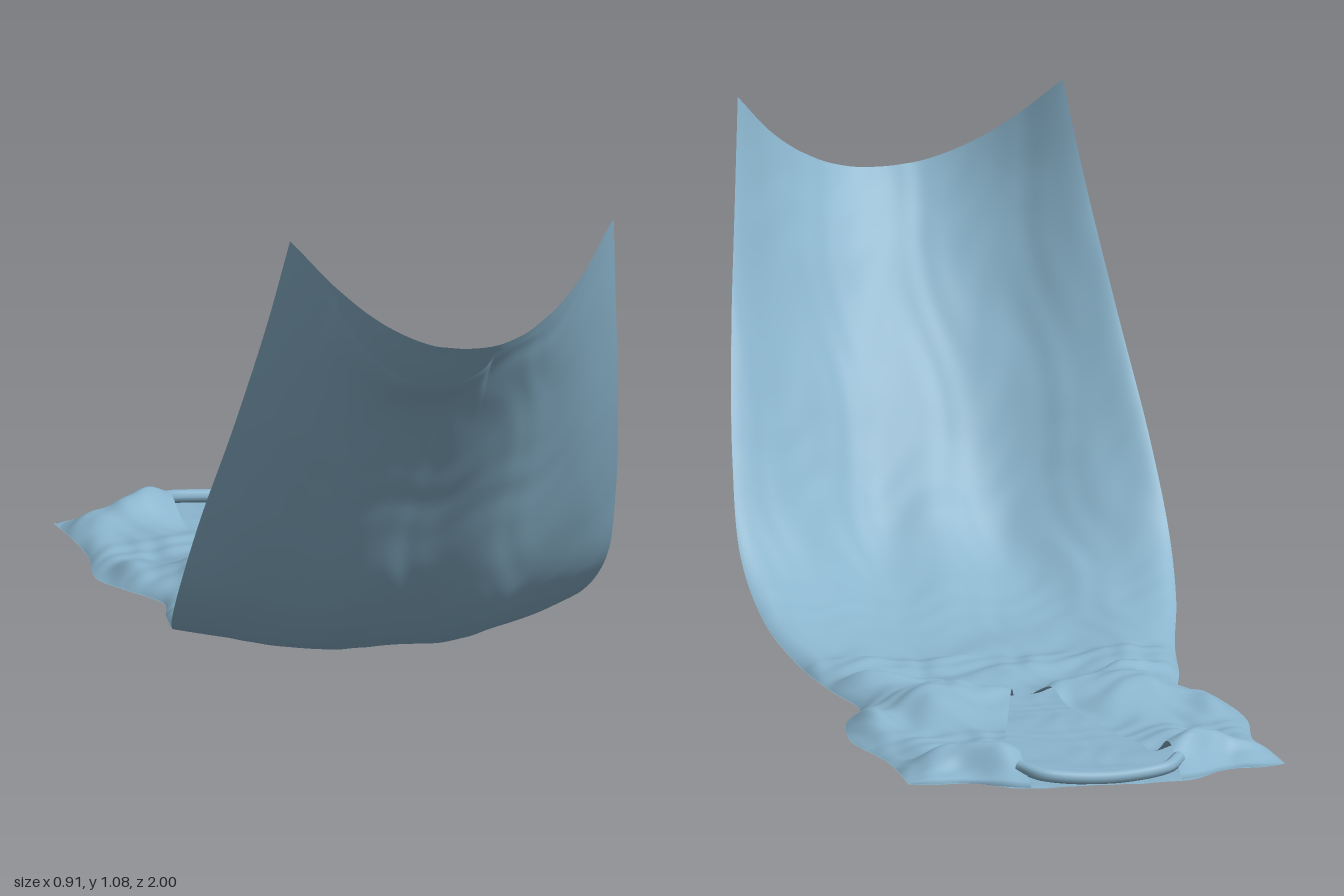
import * as THREE from 'three';
import { ParametricGeometry } from 'three/addons/geometries/ParametricGeometry.js';

const V = (x, y, z) => new THREE.Vector3(x, y, z);
const spline = pts => new THREE.CatmullRomCurve3(pts.map(p => V(...p)));

// Garment centreline (0, y, z) and side seam (halfWidth, y, z), hem to shoulders
const centre = spline([
  [0, .865, 1], [0, .72, .89], [0, .49, .735], [0, .27, .585], [0, .125, .43], [0, .04, .26], [0, .013, .08],
  [0, .007, -.1], [0, .005, -.24], [0, .005, -.36], [0, .005, -.5], [0, .005, -.68], [0, .006, -.84], [0, .012, -1]]);
const seam = spline([
  [.345, 1.08, .81], [.372, .88, .725], [.41, .63, .6], [.443, .395, .455], [.455, .22, .335], [.437, .11, .2], [.4, .05, .06],
  [.37, .03, -.1], [.342, .02, -.24], [.4, .022, -.36], [.42, .012, -.48], [.392, .01, -.65], [.395, .016, -.79], [.4, .014, -.9]]);

const bump = (x, z, cx, cz, rx, rz) => Math.exp(-(((x - cx) / rx) ** 2) - ((z - cz) / rz) ** 2);
const wave = (x, z) => Math.sin(17 * x + 9 * z + 2 * Math.sin(7 * z)) * Math.sin(13 * z - 8 * x + 1.5 * Math.sin(11 * x));
const wrinkle = (x, z) => wave(x, z) + .4 * wave(2.6 * x + 1, 2.9 * z);

// Point of the draped sheet at s (-1..1 across) and t (0 hem .. 1 shoulders), lifted along its normal
function sheet(s, t, lift, target) {
  const c = centre.getPoint(t), e = seam.getPoint(t), n = centre.getTangent(t);
  const a = Math.abs(s), f = a ** 2.2;
  // lobes that sag either side of the middle where the skirt turns upward
  const sag = .012 * (1 - Math.cos(s * 9.4)) * bump(0, t, 0, .27, 1, .09) * (1 - s * s);
  const h = lift - sag;
  target.set(s * e.x, c.y + (e.y - c.y) * f - n.z * h, c.z + (e.z - c.z) * f + n.y * h);
  target.z += .04 * bump(a, t, .7, 1, .17, .06); // dip along the shoulder line
  return target;
}

// Gap between the two cloth layers: soft lens section plus gathered folds
function loft(s, t) {
  const x = s * seam.getPoint(t).x, z = centre.getPoint(t).z, a = Math.abs(x);
  const close = 1 - Math.abs(s) ** 12;
  const end = Math.sqrt(Math.min(1, (1 - t) / .05));
  let h = .016 + .022 * Math.min(1, t * 4);
  if (z < 0) h -= .016 * Math.min(1, -z * 3);
  h += .06 * bump(a, z, .2, -.34, .1, .12);            // bust
  h += .03 * bump(a, z, .07, -.33 + a * .3, .09, .05); // gathers by the neckline
  h += .022 * bump(a, z, .27, -.13 + (a - .27) * .3, .1, .025); // waist tucks
  h += .05 * bump(a, z, .23, -.88 + (a - .2) * .25, .11, .08);  // shoulder folds
  h += .028 * bump(a, z, .36, -.42, .04, .1);          // underarm folds
  h += (z < .05 ? .008 : .003) * wrinkle(x, z);
  return Math.max(.004, h) * close * end + .001;
}

export function createModel() {
  const group = new THREE.Group();
  const cloth = new THREE.MeshStandardMaterial({ color: 0x8ab4cc, side: THREE.DoubleSide });
  const add = (name, geometry) => {
    const mesh = new THREE.Mesh(geometry, cloth);
    mesh.name = name;
    group.add(mesh);
  };

  // Under layer, with a sagging, flared stretch of hem on one side
  add('underLayer', new ParametricGeometry((u, v, target) => {
    const s = 1 - 2 * u;
    const k = (s * .345 + .27) / .31;
    const slack = k > 0 && k < 1 ? Math.sqrt(Math.sin(Math.PI * k)) : 0;
    const t = v + (1 - v) ** 6 * .03 * slack;
    const flare = .035 * slack * Math.exp(-((v / .045) ** 2));
    sheet(s, t, .003 * wrinkle(s * .4, t * 2) * (1 - s * s) - flare, target);
    target.y = Math.max(0, target.y);
  }, 80, 150));

  // Upper layer in two halves that part along the V neckline
  for (const side of [1, -1]) {
    add(side > 0 ? 'upperLayerLeft' : 'upperLayerRight', new ParametricGeometry((u, t, target) => {
      const z = centre.getPoint(t).z, w = seam.getPoint(t).x;
      const open = THREE.MathUtils.clamp((-.2 - z) / .75, 0, 1);
      const neck = .16 * Math.sin(open * Math.PI / 2) / w;
      const s = side * (neck + (1 - neck) * (side > 0 ? u : 1 - u));
      sheet(s, t, loft(s, t), target);
    }, 50, 170));
  }

  // Rolled band around the back of the neck
  add('neckBand', new THREE.TubeGeometry(spline([
    [-.17, .045, -.92], [-.13, .035, -.965], [0, .025, -.98], [.13, .035, -.965], [.17, .045, -.92]]), 32, .014, 8));
  return group;
}
